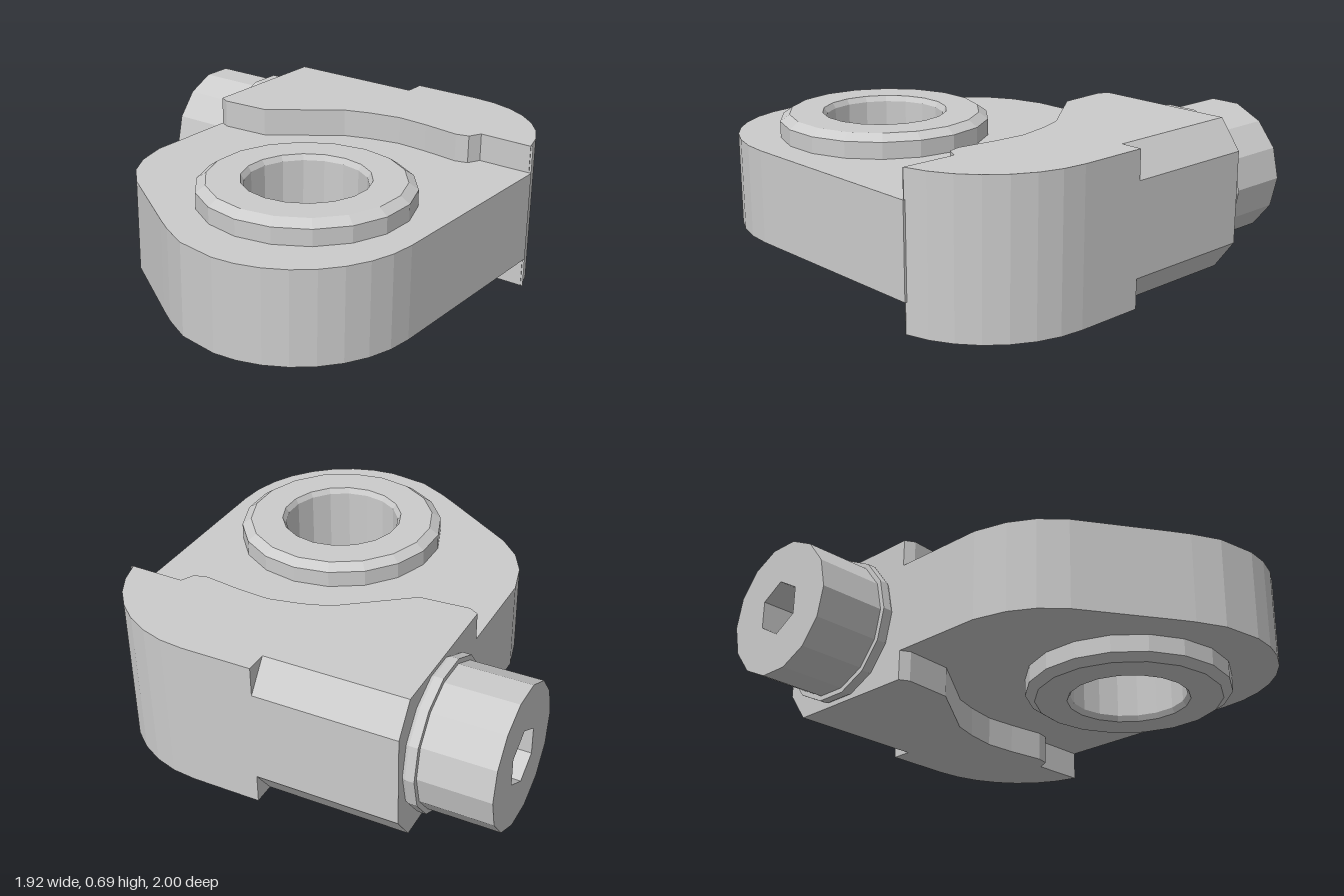
import * as THREE from 'three';

const material = new THREE.MeshStandardMaterial({ color: 0xcccccc, flatShading: true });

function add(group, name, geometry) {
  const mesh = new THREE.Mesh(geometry, material);
  mesh.name = name;
  group.add(mesh);
  return mesh;
}

const toVectors = (points) => points.map(([a, b]) => new THREE.Vector2(a, b));

// Regular polygon as a list of points
const polygon = (cx, cy, r, n, turn = 0) => Array.from({ length: n }, (_, i) => {
  const a = turn + (i / n) * Math.PI * 2;
  return [cx + r * Math.cos(a), cy + r * Math.sin(a)];
});

// Elliptical arc, angles in degrees
const arc = (cx, cy, rx, ry, from, to, n) => Array.from({ length: n + 1 }, (_, i) => {
  const a = THREE.MathUtils.degToRad(from + ((to - from) * i) / n);
  return [cx + rx * Math.cos(a), cy + ry * Math.sin(a)];
});

function extrude(points, depth, hole) {
  const shape = new THREE.Shape(toVectors(points));
  if (hole) shape.holes.push(new THREE.Path(toVectors(hole)));
  return new THREE.ExtrudeGeometry(shape, { depth, bevelEnabled: false });
}

// Plan outline given as (x, z), raised from y0 to y1
function slab(points, y0, y1, hole) {
  const flip = (list) => list && list.map(([x, z]) => [x, -z]);
  return extrude(flip(points), y1 - y0, flip(hole)).rotateX(-Math.PI / 2).translate(0, y0, 0);
}

export function createModel() {
  const model = new THREE.Group();
  model.name = 'clampBracket';

  const left = -0.585, right = 0.955, height = 0.695;
  const eyeX = 0.345, eyeZ = 0.31;

  // Wavy step between the thick block and the thinner plate, from -x to +x
  const step = [
    [left, -0.23], [-0.54, -0.205], [-0.31, -0.22], [-0.08, -0.39], [0, -0.45], [0.12, -0.49],
    [0.27, -0.52], [0.42, -0.51], [0.6, -0.485], [0.66, -0.5], [0.69, -0.56], [right, -0.56],
  ];

  // Thinner plate around the eye
  const plate = [
    ...step,
    ...arc(0.4, 0.42, 0.555, 0.575, 0, 90, 8),
    [0.21, 0.965], [0.08, 0.9], [0, 0.85],
    [-0.38, 0.6], [-0.48, 0.5], [-0.545, 0.385], [left, 0.23],
  ];
  add(model, 'eyePlate', slab(plate, 0.14, 0.565, polygon(eyeX, eyeZ, 0.4, 20)));

  // Thick rear block with a rounded corner, notched for the bevelled edge
  const block = [
    ...step,
    ...arc(0.4, -0.46, 0.555, 0.54, -10, -90, 7),
    [0.075, -1], [0.075, -0.9], [left, -0.9],
  ];
  add(model, 'rearBlock', slab(block, 0, height));

  // Bevelled strip along the rear edge
  const bevel = [[0.9, 0], [1, 0.135], [1, 0.56], [0.9, height]];
  add(model, 'bevelledEdge',
    extrude(bevel, 0.075 - left).rotateY(Math.PI / 2).translate(left, 0, 0));

  // Bushing with chamfered rims and an open bore
  const bushing = [
    [0.27, 0.055], [0.285, 0.03], [0.435, 0.03], [0.478, 0.06],
    [0.478, 0.64], [0.435, 0.67], [0.285, 0.67], [0.27, 0.645], [0.27, 0.055],
  ];
  add(model, 'bushing', new THREE.LatheGeometry(toVectors(bushing), 18))
    .position.set(eyeX, 0, eyeZ);

  // Socket-head bolt on the side
  const bolt = new THREE.Group();
  bolt.name = 'bolt';
  bolt.position.set(0, 0.35, -0.63);
  const head = extrude(polygon(0, 0, 0.32, 14), 0.325, polygon(0, 0, 0.13, 6, Math.PI / 6));
  add(bolt, 'boltHead', head.rotateY(-Math.PI / 2).translate(-0.64, 0, 0));
  const collar = [[0, 0.56], [0.32, 0.56], [0.343, 0.6], [0.343, 0.64], [0, 0.64]];
  add(bolt, 'boltCollar', new THREE.LatheGeometry(toVectors(collar), 14).rotateZ(Math.PI / 2));
  model.add(bolt);

  return model;
}
